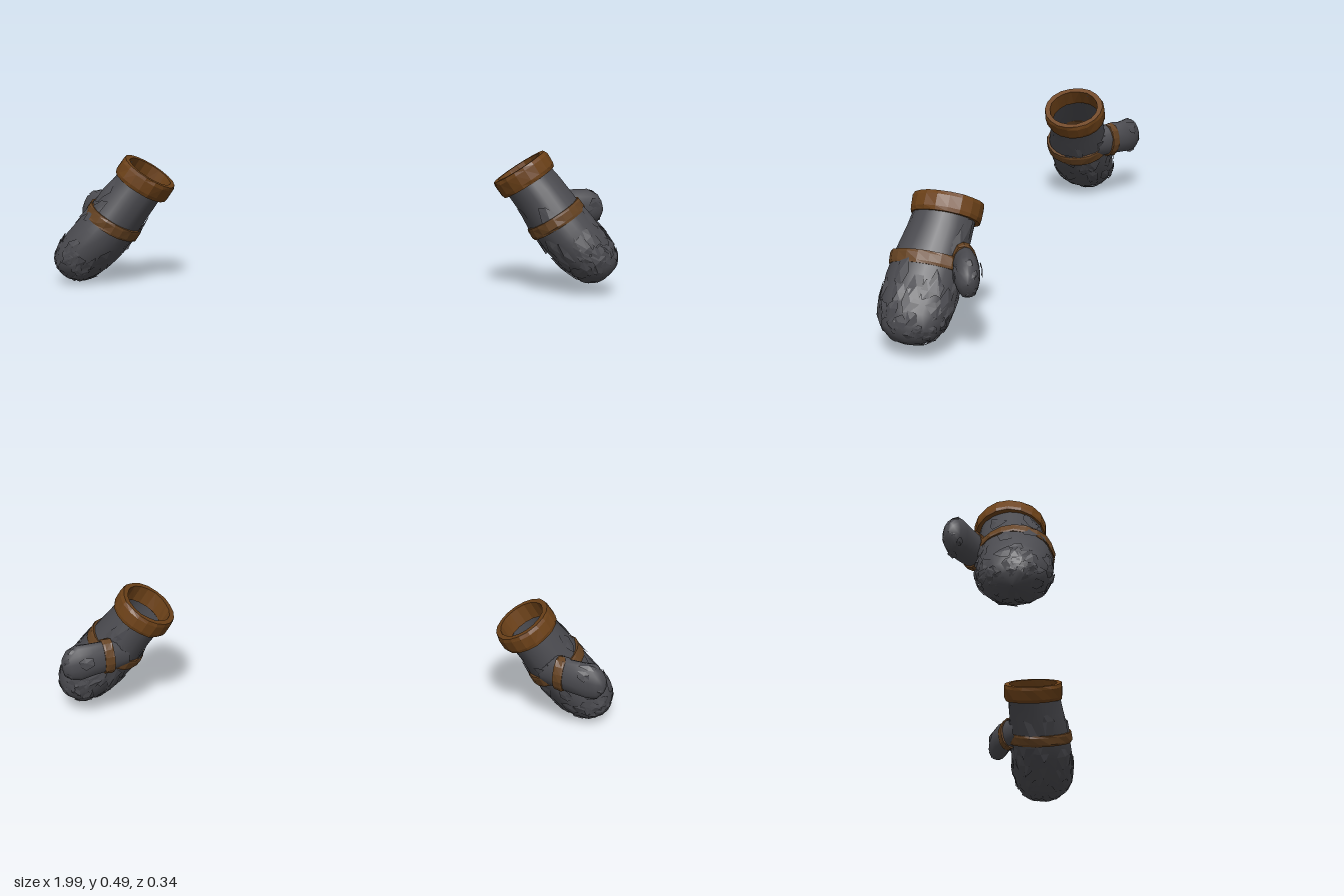
import * as THREE from 'three';

const mat = (name, color) => {
  const m = new THREE.MeshStandardMaterial({ color, side: THREE.DoubleSide });
  m.name = name;
  return m;
};

const V = (x, y, z) => new THREE.Vector3(x, y, z);
const AXIS = V(0.55, -0.83, 0);          // cuff and strap direction, towards the fingertips
const ACROSS = V(0.83, 0.55, 0);
const BODY_U = V(0.74, 0.67, 0), DEPTH = V(0, 0, 1);
const THUMB_U = V(0, 1, 0), THUMB_V = V(0.47, 0, 0.88);

// Cross-sections: centre x, y, z, half width, half depth
const BODY = [
  [0.665, 0.42, 0.02, 0.086, 0.099], [0.72, 0.35, 0.028, 0.09, 0.105],
  [0.77, 0.28, 0.04, 0.095, 0.114], [0.82, 0.22, 0.045, 0.098, 0.118],
  [0.87, 0.165, 0.045, 0.095, 0.118], [0.91, 0.125, 0.045, 0.086, 0.108],
  [0.94, 0.097, 0.045, 0.068, 0.086], [0.956, 0.08, 0.045, 0.042, 0.052], [0.962, 0.074, 0.045, 0.001, 0.001],
];
const THUMB = [
  [0.73, 0.28, -0.035, 0.05, 0.035], [0.785, 0.287, -0.08, 0.058, 0.036],
  [0.84, 0.288, -0.112, 0.063, 0.04], [0.885, 0.285, -0.13, 0.066, 0.041],
  [0.915, 0.281, -0.142, 0.054, 0.034], [0.932, 0.279, -0.149, 0.03, 0.02], [0.936, 0.278, -0.151, 0.001, 0.001],
];

function random(seed) {
  return () => {
    seed = (seed * 16807) % 2147483647;
    return seed / 2147483647;
  };
}

// Point on a lofted surface; s runs 0..1 along it, a is the angle around it
function surfacePoint(secs, u, v, s, a, lift = 0) {
  const f = THREE.MathUtils.clamp(s, 0, 1) * (secs.length - 1);
  const i = Math.min(Math.floor(f), secs.length - 2), t = f - i;
  const [x, y, z, ru, rv] = secs[i].map((n, k) => n + (secs[i + 1][k] - n) * t);
  return V(x, y, z).addScaledVector(u, (ru + lift) * Math.cos(a)).addScaledVector(v, (rv + lift) * Math.sin(a));
}

function loft(secs, u, v, sides, flat, wobble = 0, rand = null) {
  const pos = [], idx = [];
  secs.forEach((_, i) => {
    for (let j = 0; j < sides; j++) {
      const lift = rand && i < secs.length - 1 ? (rand() - 0.5) * wobble : 0;
      pos.push(...surfacePoint(secs, u, v, i / (secs.length - 1), j / sides * Math.PI * 2, lift).toArray());
      if (i === 0) continue;
      const k = (j + 1) % sides, p = (i - 1) * sides, q = i * sides;
      idx.push(p + j, p + k, q + j, p + k, q + k, q + j);
    }
  });
  return finish(pos, idx, flat);
}

function finish(pos, idx, flat) {
  let g = new THREE.BufferGeometry();
  g.setAttribute('position', new THREE.Float32BufferAttribute(pos, 3));
  g.setIndex(idx);
  if (flat) g = g.toNonIndexed();
  g.computeVertexNormals();
  return g;
}

// Ragged scraps of hide lying on a lofted surface, denser towards the tip
function scraps(secs, u, v, count, size, rand) {
  const pos = [], idx = [];
  for (let n = 0; n < count; n++) {
    const s0 = 0.12 + 0.78 * Math.pow(rand(), 0.65), a0 = rand() * Math.PI * 2;
    const base = pos.length / 3, corners = 6;
    pos.push(...surfacePoint(secs, u, v, s0, a0, 0.006).toArray());
    for (let c = 0; c < corners; c++) {
      const t = c / corners * Math.PI * 2, r = size * (0.5 + 0.8 * rand());
      const lift = rand() * 0.009 - 0.001;
      pos.push(...surfacePoint(secs, u, v, s0 + Math.sin(t) * r * 0.3, a0 + Math.cos(t) * r, lift).toArray());
      idx.push(base, base + 1 + c, base + 1 + (c + 1) % corners);
    }
  }
  return finish(pos, idx, true);
}

// Closed band around a centre, with rounded-off outer edges
function band(c, axis, u, v, ru, rv, width, thick, sides, rand) {
  const rows = [[0.5, 0], [-0.5, 0], [-0.5, 0.8], [-0.3, 1], [0.3, 1], [0.5, 0.8], [0.5, 0]];
  const secs = rows.map(([h, t]) => {
    const p = c.clone().addScaledVector(axis, h * width);
    return [p.x, p.y, p.z, ru + t * thick, rv + t * thick];
  });
  return loft(secs, u, v, sides, true, 0.004, rand);
}

function mitten(mirror, seed, mats) {
  const group = new THREE.Group();
  const rand = random(seed);
  const add = (name, g, m) => {
    if (mirror) {
      // Mirror the shape and turn the faces back outwards
      g.scale(-1, 1, 1);
      if (!g.index) g.setIndex([...Array(g.attributes.position.count).keys()]);
      const ix = g.index.array;
      for (let i = 0; i < ix.length; i += 3) [ix[i + 1], ix[i + 2]] = [ix[i + 2], ix[i + 1]];
      g.computeVertexNormals();
    }
    const mesh = new THREE.Mesh(g, m);
    mesh.name = name;
    group.add(mesh);
  };

  // Hollow hand and thumb
  add('hand', loft(BODY, BODY_U, DEPTH, 22, false, 0.004, rand), mats.hide);
  add('thumb', loft(THUMB, THUMB_U, THUMB_V, 14, false, 0.004, rand), mats.hide);
  add('handScraps', scraps(BODY, BODY_U, DEPTH, 75, 0.26, rand), mats.hide);
  add('thumbScraps', scraps(THUMB, THUMB_U, THUMB_V, 8, 0.35, rand), mats.hide);

  // Thick leather cuff
  add('cuff', band(V(0.667, 0.416, 0.02), AXIS, ACROSS, DEPTH, 0.084, 0.094, 0.064, 0.022, 18, rand), mats.cuff);

  // Straps around the palm and the base of the thumb
  add('palmStrap', band(V(0.779, 0.268, 0.042), AXIS, ACROSS, DEPTH, 0.094, 0.113, 0.042, 0.011, 20, rand), mats.strap);
  add('thumbStrap', band(V(0.79, 0.287, -0.083), V(0.88, 0, -0.47), THUMB_U, THUMB_V,
    0.058, 0.036, 0.034, 0.007, 14, rand), mats.strap);
  return group;
}

export function createModel() {
  const mats = {
    hide: mat('dark grey hide', 0x4b4b50),
    cuff: mat('brown cuff leather', 0x6c4118),
    strap: mat('brown strap leather', 0x664322),
  };
  const model = new THREE.Group();
  model.name = 'mittens';
  const left = mitten(false, 1234, mats);
  left.name = 'leftMitten';
  const right = mitten(true, 98765, mats);
  right.name = 'rightMitten';
  right.position.y = -0.037;
  model.add(left, right);
  return model;
}
